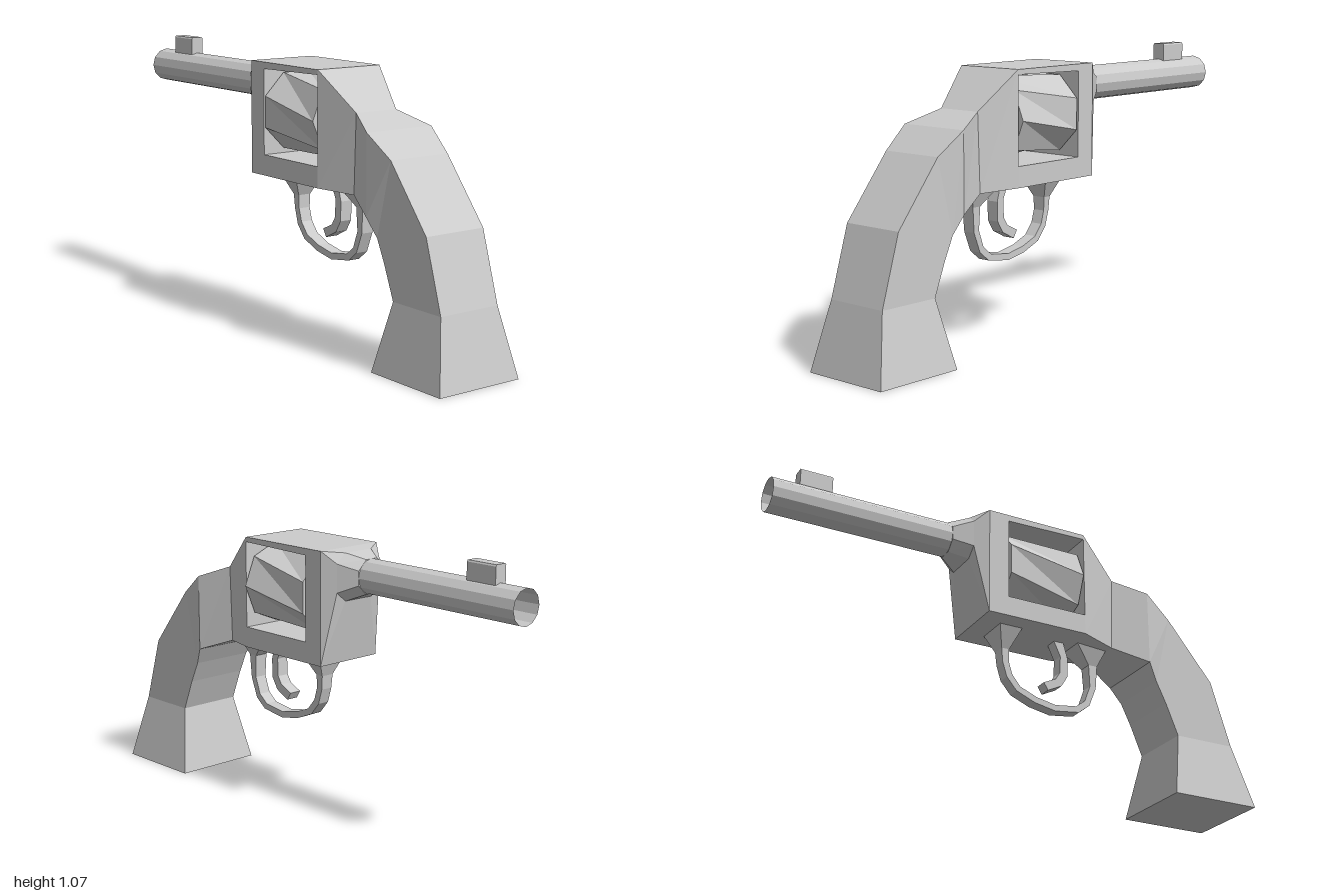
import * as THREE from 'three';

const material = new THREE.MeshStandardMaterial({ color: 0xcccccc, flatShading: true });
const openMaterial = new THREE.MeshStandardMaterial({ color: 0xcccccc, flatShading: true, side: THREE.DoubleSide });

function addMesh(group, name, geometry, mat = material) {
  const mesh = new THREE.Mesh(geometry, mat);
  mesh.name = name;
  group.add(mesh);
  return mesh;
}

// Capped loft along a path in the xy plane.
// Section: [xRight, yRight, xLeft, yLeft, halfWidth, cornerCut], right/left of travel.
function loft(sections) {
  const rings = sections.map(([x0, y0, x1, y1, w, f = 0]) => {
    const k = 1 - 2 * f;
    return [[f, 1], [1 - f, 1], [1, k], [1, -k], [1 - f, -1], [f, -1], [0, -k], [0, k]]
      .map(([a, z]) => new THREE.Vector3(x0 + (x1 - x0) * a, y0 + (y1 - y0) * a, z * w));
  });
  const positions = [];
  const tri = (a, b, c) => {
    if (new THREE.Triangle(a, b, c).getArea() < 1e-8) return;
    for (const p of [a, b, c]) positions.push(p.x, p.y, p.z);
  };
  for (let i = 0; i < rings.length - 1; i++) {
    const p = rings[i], q = rings[i + 1];
    for (let j = 0; j < 8; j++) {
      const k = (j + 1) % 8;
      tri(p[j], q[j], q[k]);
      tri(p[j], q[k], p[k]);
    }
  }
  const first = rings[0], last = rings[rings.length - 1];
  for (let j = 1; j < 7; j++) {
    tri(first[0], first[j], first[j + 1]);
    tri(last[0], last[j + 1], last[j]);
  }
  const geometry = new THREE.BufferGeometry();
  geometry.setAttribute('position', new THREE.Float32BufferAttribute(positions, 3));
  geometry.computeVertexNormals();
  return geometry;
}

export function createModel() {
  const group = new THREE.Group();

  // Frame: a C shape around the drum window, closed behind by the grip
  const outline = [[-0.15, 0.6], [0.27, 0.6], [0.27, 0.68], [-0.067, 0.68],
    [-0.067, 1.008], [0.27, 1.015], [0.27, 1.034], [-0.15, 1.034]];
  const frame = new THREE.ExtrudeGeometry(
    new THREE.Shape(outline.map(([x, y]) => new THREE.Vector2(x, y))),
    { depth: 0.286, bevelEnabled: false });
  frame.translate(0, 0, -0.143);
  addMesh(group, 'frame', frame);

  // Neck blending the round barrel into the square frame
  addMesh(group, 'barrelNeck', loft([
    [-0.27, 0.875, -0.27, 1.005, 0.066, 0.29],
    [-0.2, 0.845, -0.2, 1.025, 0.108, 0.2],
    [-0.15, 0.6, -0.15, 1.034, 0.143, 0],
  ]));

  // Hollow barrel
  const barrel = new THREE.CylinderGeometry(0.067, 0.067, 0.74, 12, 1, true);
  barrel.rotateZ(Math.PI / 2);
  addMesh(group, 'barrel', barrel, openMaterial).position.set(-0.63, 0.94, 0);

  // Front sight with trimmed top edges
  addMesh(group, 'frontSight', loft([
    [-0.885, 0.985, -0.885, 1.071, 0.026, 0.07],
    [-0.755, 0.985, -0.755, 1.071, 0.026, 0.07],
  ]));

  // Drum: one end turned by half a side
  const sides = 8;
  const drum = new THREE.CylinderGeometry(0.157, 0.157, 0.315, sides);
  const p = drum.attributes.position;
  const axis = new THREE.Vector3(0, 1, 0), v = new THREE.Vector3();
  for (let i = 0; i < p.count; i++) {
    v.fromBufferAttribute(p, i);
    if (v.y > 0) v.applyAxisAngle(axis, Math.PI / sides);
    p.setXYZ(i, v.x, v.y, v.z);
  }
  drum.rotateZ(Math.PI / 2);
  drum.computeVertexNormals();
  addMesh(group, 'drum', drum).position.set(0.102, 0.846, 0);

  // Rear of the frame, pinched at the waist, running into the curved grip
  addMesh(group, 'grip', loft([
    [0.27, 0.6, 0.27, 1.034, 0.143],
    [0.42, 0.592, 0.43, 0.89, 0.092],
    [0.56, 0.54, 0.56, 0.84, 0.148],
    [0.6, 0.47, 0.67, 0.755, 0.13],
    [0.64, 0.385, 0.86, 0.52, 0.13],
    [0.69, 0.26, 0.94, 0.26, 0.13],
    [0.635, 0, 1, 0, 0.181],
  ]));

  // Trigger guard with flared feet
  addMesh(group, 'triggerGuard', loft([
    [-0.065, 0.605, 0.035, 0.605, 0.07],
    [-0.035, 0.52, -0.003, 0.52, 0.027],
    [-0.03, 0.465, -0.003, 0.468, 0.025],
    [-0.012, 0.405, 0.012, 0.418, 0.025],
    [0.03, 0.355, 0.047, 0.375, 0.025],
    [0.11, 0.322, 0.118, 0.346, 0.025],
    [0.2, 0.305, 0.2, 0.33, 0.025],
    [0.305, 0.32, 0.293, 0.343, 0.025],
    [0.352, 0.357, 0.333, 0.375, 0.025],
    [0.383, 0.435, 0.357, 0.44, 0.025],
    [0.39, 0.53, 0.352, 0.53, 0.027],
    [0.42, 0.605, 0.28, 0.605, 0.06],
  ]));

  // Trigger
  addMesh(group, 'trigger', loft([
    [0.195, 0.605, 0.238, 0.605, 0.025],
    [0.225, 0.54, 0.258, 0.535, 0.025],
    [0.222, 0.47, 0.256, 0.46, 0.025],
    [0.203, 0.44, 0.228, 0.415, 0.025],
    [0.15, 0.415, 0.168, 0.385, 0.025],
  ]));

  return group;
}
